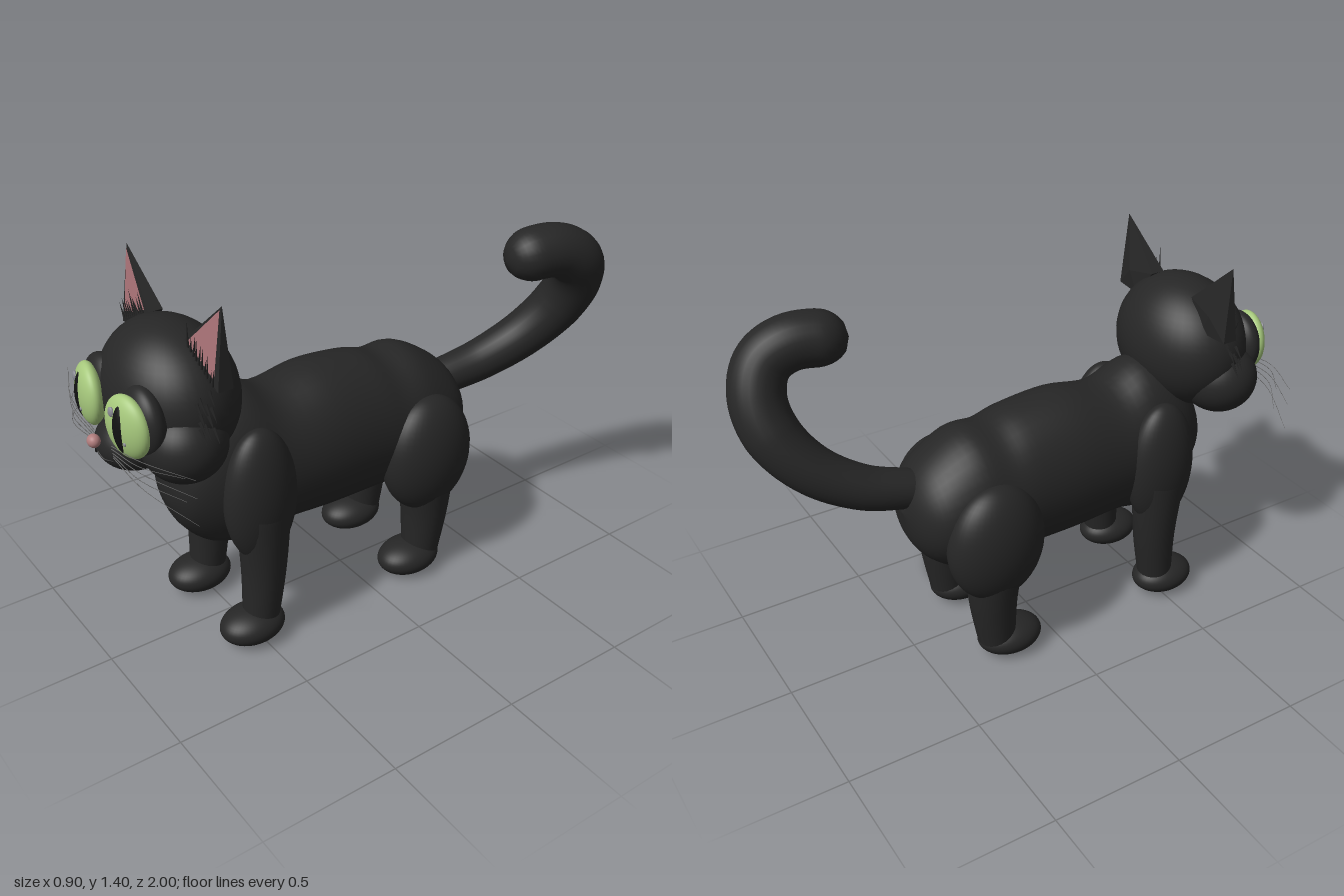
import * as THREE from 'three';
import { mergeVertices } from 'three/addons/utils/BufferGeometryUtils.js';
import { ConvexGeometry } from 'three/addons/geometries/ConvexGeometry.js';

const mat = (name, color, side = THREE.FrontSide) => {
  const m = new THREE.MeshStandardMaterial({ color, side });
  m.name = name;
  return m;
};
const V = (x, y, z) => new THREE.Vector3(x, y, z);

export function createModel() {
  const fur = mat('black fur', 0x262626);
  const dark = mat('pupil black', 0x121212);
  const green = mat('eye green', 0xa6c87c);
  const pink = mat('ear pink', 0xa87276, THREE.DoubleSide);
  const nosePink = mat('nose pink', 0xb07c7c);
  const grey = mat('highlight grey', 0x8a8a94);
  const whiskerGrey = mat('whisker grey', 0x6a6a6a);

  const cat = new THREE.Group();
  cat.name = 'cat';
  let seed = 7;
  const rand = () => (seed = (seed * 16807) % 2147483647) / 2147483647;

  const add = (name, geometry, material, parent = cat) => {
    const mesh = new THREE.Mesh(geometry, material);
    mesh.name = name;
    parent.add(mesh);
    return mesh;
  };
  const ball = (name, pos, size, material = fur, parent = cat) => {
    const mesh = add(name, new THREE.SphereGeometry(1, 40, 28), material, parent);
    mesh.position.set(...pos);
    mesh.scale.set(...size);
    return mesh;
  };
  const smooth = (g) => {
    g.deleteAttribute('uv');
    g.deleteAttribute('normal');
    const merged = mergeVertices(g, 1e-5);
    merged.computeVertexNormals();
    return merged;
  };
  // Tube whose radius follows radius(u)
  const limb = (name, points, radius, steps = 30, sides = 24, material = fur) => {
    const curve = new THREE.CatmullRomCurve3(points);
    const g = new THREE.TubeGeometry(curve, steps, 1, sides);
    const p = g.attributes.position;
    const v = V(0, 0, 0);
    for (let i = 0; i < p.count; i++) {
      const u = Math.floor(i / (sides + 1)) / steps;
      const c = curve.getPointAt(u);
      v.fromBufferAttribute(p, i).sub(c).multiplyScalar(radius(u)).add(c);
      p.setXYZ(i, v.x, v.y, v.z);
    }
    return add(name, smooth(g), material);
  };
  // Thin tapering hair from a to b
  const hair = (name, a, b, r) => {
    const g = new THREE.ConeGeometry(r, a.distanceTo(b), 4);
    const m = add(name, g, fur);
    m.position.copy(a).lerp(b, 0.5);
    m.quaternion.setFromUnitVectors(V(0, 1, 0), b.clone().sub(a).normalize());
  };

  // Torso: elliptical sections [z, top, bottom, half width] from chest to rump
  const sections = [
    [0.735, 0.62, 0.62, 0], [0.728, 0.7, 0.55, 0.08], [0.69, 0.82, 0.46, 0.145],
    [0.6, 0.94, 0.37, 0.19], [0.47, 0.965, 0.335, 0.215], [0.33, 0.905, 0.36, 0.225],
    [0.14, 0.93, 0.35, 0.235], [-0.05, 0.915, 0.35, 0.235], [-0.16, 0.885, 0.35, 0.235],
    [-0.28, 0.885, 0.325, 0.235], [-0.42, 0.8, 0.4, 0.2], [-0.49, 0.71, 0.49, 0.12],
    [-0.515, 0.62, 0.62, 0],
  ];
  const heights = new THREE.CatmullRomCurve3(sections.map((s) => V(s[0], s[1], s[2])), false, 'catmullrom');
  const widths = new THREE.CatmullRomCurve3(sections.map((s) => V(s[0], s[3], 0)), false, 'catmullrom');
  const rings = 60, around = 40, pos = [], idx = [];
  for (let i = 0; i <= rings; i++) {
    const h = heights.getPoint(i / rings), w = widths.getPoint(i / rings).y;
    for (let j = 0; j < around; j++) {
      const a = (j / around) * Math.PI * 2;
      pos.push(w * Math.cos(a), (h.y + h.z) / 2 + ((h.y - h.z) / 2) * Math.sin(a), h.x);
      if (i === rings) continue;
      const p = i * around + j, q = i * around + ((j + 1) % around);
      idx.push(p, p + around, q, q, p + around, q + around);
    }
  }
  const torso = new THREE.BufferGeometry();
  torso.setAttribute('position', new THREE.Float32BufferAttribute(pos, 3));
  torso.setIndex(idx);
  torso.computeVertexNormals();
  add('torso', torso, fur);

  // Tail with a rounded, curled tip
  limb('tail', [
    V(0.02, 0.69, -0.45), V(0.06, 0.735, -0.63), V(0.125, 0.83, -0.79), V(0.2, 0.96, -0.885),
    V(0.26, 1.08, -0.9), V(0.295, 1.18, -0.855), V(0.285, 1.235, -0.76), V(0.24, 1.225, -0.56),
  ], (u) => (0.072 + 0.028 * Math.min(1, u * 2)) * Math.sqrt(Math.max(0, 1 - Math.max(0, (u - 0.9) / 0.1) ** 2)), 70);

  // Head
  ball('skull', [0, 1.0, 0.69], [0.285, 0.25, 0.22]);
  ball('jaw', [0, 0.885, 0.72], [0.25, 0.13, 0.17]);
  ball('muzzle', [0, 0.86, 0.83], [0.13, 0.1, 0.13]);
  ball('nose', [0, 0.897, 0.972], [0.025, 0.023, 0.022], nosePink);

  for (const s of [1, -1]) {
    const side = s > 0 ? 'left' : 'right';

    // Legs
    ball(side + 'Shoulder', [s * 0.195, 0.6, 0.475], [0.092, 0.26, 0.14]);
    ball(side + 'Thigh', [s * 0.205, 0.52, -0.25], [0.12, 0.235, 0.19]);
    limb(side + 'FrontLeg', [V(s * 0.2, 0.55, 0.47), V(s * 0.193, 0.3, 0.47), V(s * 0.19, 0.06, 0.49)],
      (u) => 0.1 - 0.035 * u);
    limb(side + 'BackLeg', [V(s * 0.2, 0.5, -0.25), V(s * 0.193, 0.28, -0.26), V(s * 0.19, 0.06, -0.245)],
      (u) => 0.115 - 0.045 * u);
    ball(side + 'FrontPaw', [s * 0.19, 0.067, 0.525], [0.098, 0.067, 0.125]);
    ball(side + 'BackPaw', [s * 0.19, 0.067, -0.19], [0.098, 0.067, 0.128]);

    // Cheeks
    ball(side + 'Cheek', [s * 0.175, 0.9, 0.74], [0.15, 0.135, 0.145]);

    // Eyes
    ball(side + 'EyeSocket', [s * 0.135, 0.995, 0.855], [0.112, 0.125, 0.06]);
    const eye = new THREE.Group();
    eye.name = side + 'Eye';
    eye.position.set(s * 0.135, 0.993, 0.91);
    eye.rotation.y = s * 0.2;
    cat.add(eye);
    ball('iris', [0, 0, 0], [0.101, 0.11, 0.045], green, eye);
    ball('pupil', [0, 0, 0], [0.046, 0.103, 0.05], dark, eye);
    ball('highlight', [-0.031, 0.055, 0.036], [0.014, 0.018, 0.008], grey, eye);
    ball('smallHighlight', [0.03, -0.036, 0.04], [0.006, 0.007, 0.005], grey, eye);

    // Ears: black shell with a thin pink lining
    const tip = V(s * 0.307, 1.4, 0.65), outer = V(s * 0.318, 1.12, 0.685), inner = V(s * 0.12, 1.225, 0.685);
    add(side + 'Ear', new ConvexGeometry([
      tip, outer, inner, V(s * 0.318, 1.12, 0.63), V(s * 0.12, 1.225, 0.63),
      V(s * 0.2, 1.12, 0.675), V(s * 0.2, 1.12, 0.62), V(s * 0.24, 1.2, 0.615),
    ]), fur);
    const onEar = (a, b, c) => V(0, 0, 0.004).addScaledVector(tip, a).addScaledVector(outer, b).addScaledVector(inner, c);
    const lining = new THREE.BufferGeometry().setFromPoints(
      s > 0 ? [onEar(0.94, 0.03, 0.03), onEar(0.05, 0.06, 0.89), onEar(0.09, 0.81, 0.1)]
        : [onEar(0.94, 0.03, 0.03), onEar(0.09, 0.81, 0.1), onEar(0.05, 0.06, 0.89)]);
    lining.computeVertexNormals();
    add(side + 'EarLining', lining, pink);
    for (let i = 0; i < 10; i++) {
      const t = 0.15 + 0.08 * i;
      const root = onEar(0, t, 1 - t);
      hair(side + 'EarHair', root, root.clone().add(V(s * (0.01 + 0.02 * rand()), 0.05 + 0.05 * rand(), 0.004)), 0.005);
    }

    // Fur tufts beside the eyes
    for (let i = 0; i < 12; i++) {
      const y = 0.97 + 0.012 * i;
      const root = V(s * 0.283 * Math.sqrt(1 - ((y - 1) / 0.25) ** 2), y, 0.68 + 0.06 * rand());
      hair(side + 'CheekTuft', root, root.clone().add(V(s * (0.025 + 0.02 * rand()), -0.045, 0)), 0.007);
    }

    // Whiskers
    [[0.905, 0.935], [0.893, 0.905], [0.88, 0.87], [0.872, 0.82], [0.865, 0.77]].forEach(([y0, y1], i) => {
      const reach = i % 2 ? 0.38 : 0.45;
      limb(side + 'Whisker', [V(s * 0.06, y0 - 0.01, 0.94), V(s * 0.25, (y0 + y1) / 2 + 0.008, 0.93), V(s * reach, y1, 0.85)],
        (u) => 0.0017 - 0.001 * u, 12, 5, whiskerGrey);
    });

    // Mouth
    limb(side + 'Mouth', [V(0, 0.855, 0.962), V(s * 0.03, 0.838, 0.956), V(s * 0.065, 0.838, 0.938)],
      () => 0.003, 10, 6, dark);
  }
  return cat;
}
